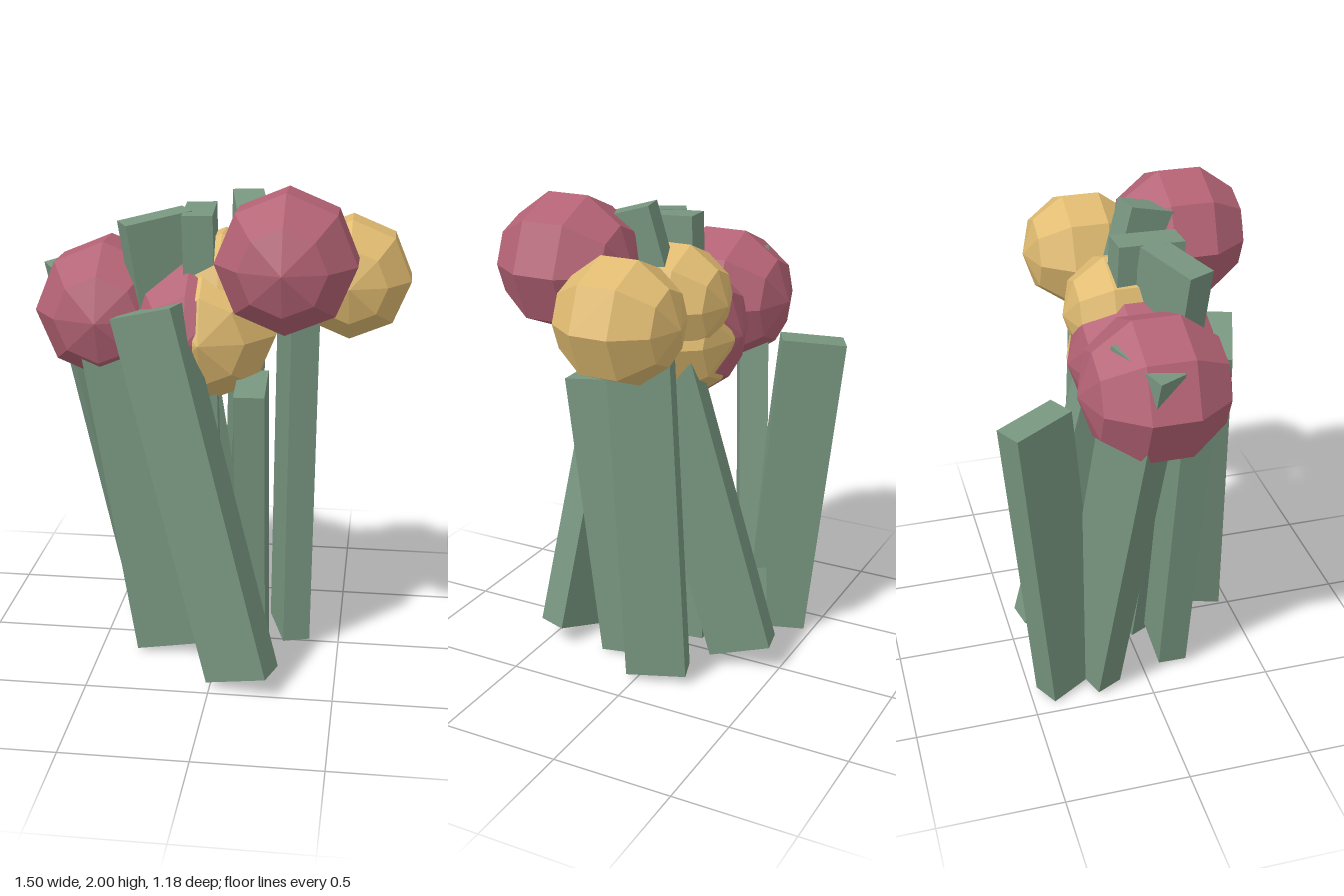
import * as THREE from 'three';

const stemGreen = new THREE.MeshStandardMaterial({ color: 0x77957f });
stemGreen.name = 'stem green';
const petalRed = new THREE.MeshStandardMaterial({ color: 0xb36274 });
petalRed.name = 'petal red';
const petalYellow = new THREE.MeshStandardMaterial({ color: 0xdfba70 });
petalYellow.name = 'petal yellow';

// Flat bar from bottom centre to top centre; (dx, dz) is the heading of its wide side
function makeStem(name, bottom, top, [dx, dz], width = 0.265, thick = 0.12) {
  const a = new THREE.Vector3(...bottom);
  const b = new THREE.Vector3(...top);
  const y = b.clone().sub(a);
  const length = y.length();
  y.normalize();
  const x = new THREE.Vector3(dx, 0, dz);
  x.addScaledVector(y, -x.dot(y)).normalize();
  const z = new THREE.Vector3().crossVectors(x, y);
  const mesh = new THREE.Mesh(new THREE.BoxGeometry(width, length, thick), stemGreen);
  mesh.name = name;
  mesh.quaternion.setFromRotationMatrix(new THREE.Matrix4().makeBasis(x, y, z));
  mesh.position.copy(a).add(b).multiplyScalar(0.5);
  return mesh;
}

// Faceted ball with its poles facing front and back
function makeBloom(name, centre, radius, material) {
  const geometry = new THREE.SphereGeometry(radius, 8, 5).rotateX(Math.PI / 2).toNonIndexed();
  geometry.computeVertexNormals();
  const mesh = new THREE.Mesh(geometry, material);
  mesh.name = name;
  mesh.position.set(...centre);
  return mesh;
}

export function createModel() {
  const group = new THREE.Group();
  group.name = 'flowerBunch';

  // Stems
  group.add(
    makeStem('frontStem', [0.13, 0.055, 0.43], [-0.255, 1.525, 0.3], [0.95, 0.31], 0.27, 0.13),
    makeStem('frontRightStem', [-0.215, 0.035, 0.13], [-0.43, 1.42, 0.15], [1, 0], 0.255),
    makeStem('outerRightStem', [-0.303, 0.035, -0.23], [-0.603, 1.65, -0.07], [0.89, -0.46]),
    makeStem('backRightStem', [-0.335, 0.02, -0.325], [-0.393, 1.34, -0.445], [0.47, 0.88]),
    makeStem('shortStem', [0.143, 0.015, 0.115], [0.143, 1.235, 0.265], [0.03, 1]),
    makeStem('outerLeftStem', [0.285, 0.03, -0.07], [0.305, 1.58, 0], [0.3, 0.95], 0.25, 0.115),
    makeStem('tallBackStem', [0.03, 0.085, -0.34], [0.13, 1.92, 0.165], [0.2, 0.97]),
    makeStem('tallRightStem', [0.01, 0.04, 0.0], [-0.25, 1.86, 0.14], [0.89, -0.46], 0.27),
    makeStem('tallCentreStem', [-0.05, 0.04, 0], [-0.083, 1.88, 0.075], [0.06, 1])
  );

  // Blooms
  group.add(
    makeBloom('topRedBloom', [0.28, 1.734, 0.31], 0.28, petalRed),
    makeBloom('rightRedBloom', [-0.467, 1.46, -0.003], 0.297, petalRed),
    makeBloom('middleRedBloom', [-0.11, 1.403, 0.052], 0.304, petalRed),
    makeBloom('leftYellowBloom', [0.51, 1.605, -0.04], 0.25, petalYellow),
    makeBloom('upperYellowBloom', [0.005, 1.555, 0], 0.24, petalYellow),
    makeBloom('lowerYellowBloom', [-0.055, 1.4, 0.055], 0.297, petalYellow)
  );
  return group;
}
